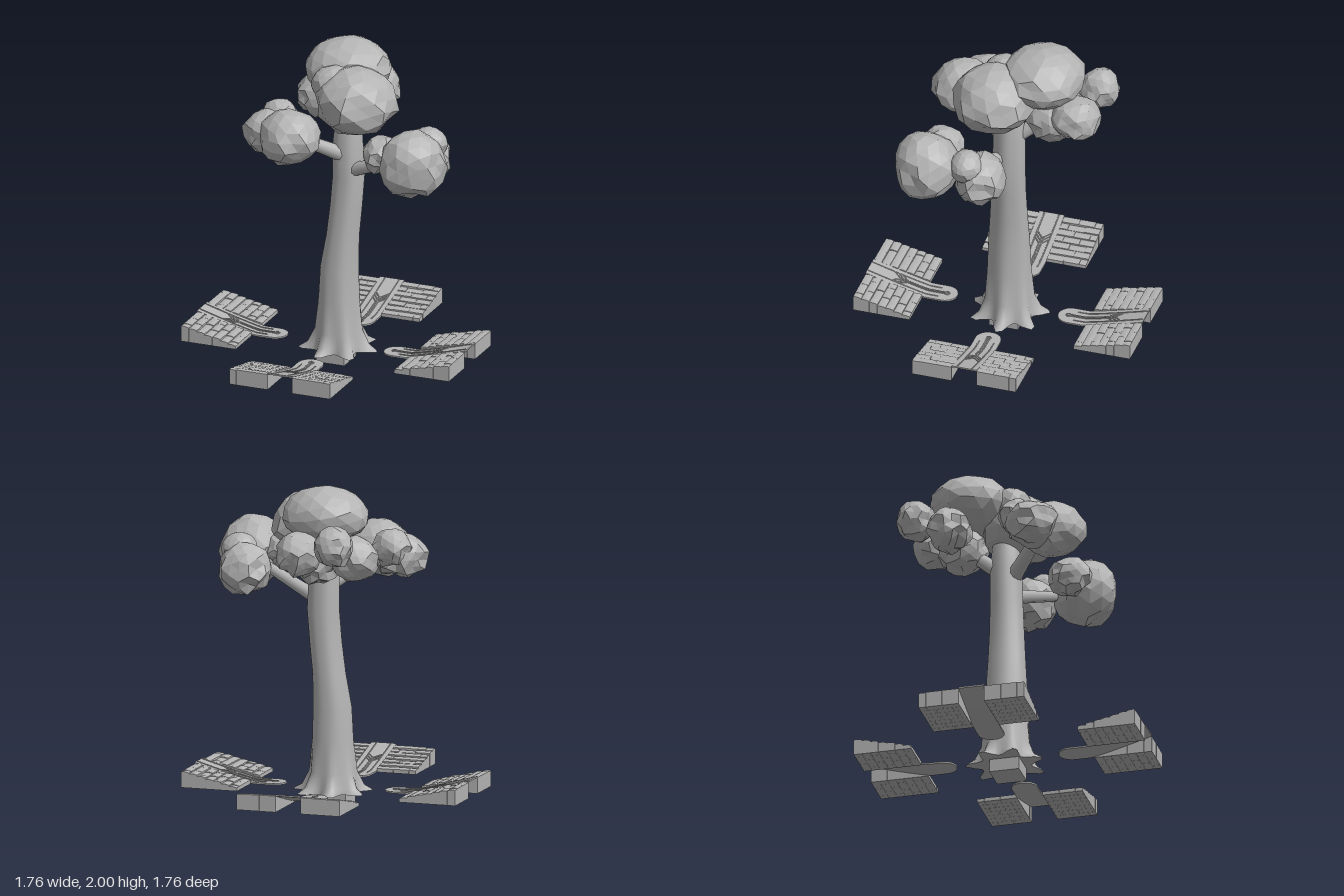
import * as THREE from 'three';

const stone = new THREE.MeshStandardMaterial({ color: 0xb4b4b4 });
stone.name = 'plain grey';
const facet = new THREE.MeshStandardMaterial({ color: 0xb4b4b4, flatShading: true });
facet.name = 'plain grey faceted';

function add(parent, name, geometry, material = stone) {
  const mesh = new THREE.Mesh(geometry, material);
  mesh.name = name;
  parent.add(mesh);
  return mesh;
}

// Repeatable noise in -1..1 from a position
function noise(x, y, z) {
  const q = v => Math.round(v * 1000);
  const s = Math.sin(q(x) * 0.1271 + q(y) * 0.3117 + q(z) * 0.2743) * 43758.5453;
  return (s - Math.floor(s)) * 2 - 1;
}

// Surface through rings [y, centreX, centreZ, radiusX, radiusZ, star]
function loft(rings, sides) {
  const pos = [], index = [];
  for (const [y, cx, cz, rx, rz, star = 0] of rings) {
    for (let j = 0; j < sides; j++) {
      const t = (j / sides) * Math.PI * 2 + y * 0.5;
      const k = 1 + star * (Math.pow(Math.abs(Math.cos(t * 3.5)), 3) - 0.25) + 0.015 * Math.cos(t * 6);
      pos.push(cx + Math.cos(t) * rx * k, y, cz + Math.sin(t) * rz * k);
    }
  }
  for (let i = 0; i < rings.length - 1; i++) {
    for (let j = 0; j < sides; j++) {
      const a = i * sides + j, b = i * sides + (j + 1) % sides;
      index.push(a, a + sides, b, b, a + sides, b + sides);
    }
  }
  const g = new THREE.BufferGeometry();
  g.setAttribute('position', new THREE.Float32BufferAttribute(pos, 3));
  g.setIndex(index);
  g.computeVertexNormals();
  return g;
}

// Tapered round limb between two points
function limb(parent, name, from, to, r0, r1) {
  const a = new THREE.Vector3(...from), b = new THREE.Vector3(...to);
  const m = add(parent, name, new THREE.CylinderGeometry(r1, r0, a.distanceTo(b), 9));
  m.position.copy(a).lerp(b, 0.5);
  m.quaternion.setFromUnitVectors(new THREE.Vector3(0, 1, 0), b.sub(a).normalize());
}

// Foliage lump: calm dome on top, craggy below
function leafBall(parent, name, [x, y, z, rx, ry, rz], seed, rough) {
  const g = new THREE.IcosahedronGeometry(1, 2);
  g.rotateX(seed * 1.3).rotateY(seed * 2.1);
  const p = g.attributes.position;
  for (let i = 0; i < p.count; i++) {
    const vx = p.getX(i), vy = p.getY(i), vz = p.getZ(i);
    const amount = vy > 0.25 ? 0.02 + rough * 0.4 : 0.045 + rough;
    const k = 1 + amount * noise(vx + seed, vy, vz);
    p.setXYZ(i, vx * k * rx, vy * k * ry, vz * k * rz);
  }
  g.computeVertexNormals();
  add(parent, name, g, facet).position.set(x, y, z);
}

// Walkway height at distance r from the centre
function rampY(r) {
  const t = Math.max(0, (r - 0.5) / 0.38);
  return 0.105 + 0.1 * Math.pow(t, 1.1);
}

// Raised bead following the walkway
function bead(parent, name, points, radius = 0.005) {
  const path = new THREE.CurvePath();
  const v = points.map(([x, r]) => new THREE.Vector3(x, rampY(r) + 0.006, r));
  for (let i = 1; i < v.length; i++) path.add(new THREE.LineCurve3(v[i - 1], v[i]));
  add(parent, name, new THREE.TubeGeometry(path, (v.length - 1) * 2, radius, 6));
}

// One arm: walkway with a tiled wedge on each side, pointing to +z
function createArm() {
  const arm = new THREE.Group();

  const g = new THREE.BoxGeometry(1, 1, 1, 2, 1, 28);
  const p = g.attributes.position;
  for (let i = 0; i < p.count; i++) {
    const r = 0.32 + 0.56 * Math.pow(p.getZ(i) + 0.5, 1.6);
    const half = r < 0.4 ? Math.sqrt(Math.max(0, 0.0064 - (0.4 - r) ** 2)) : 0.08;
    p.setXYZ(i, p.getX(i) * 2 * half, rampY(r) + p.getY(i) * 0.01, r);
  }
  g.computeVertexNormals();
  add(arm, 'walkway', g);

  // Beads: two side rails and an arrow with a ring
  const along = (x, r0, r1) => Array.from({ length: 7 }, (_, i) => [x, r0 + (r1 - r0) * i / 6]);
  for (const s of [-1, 1]) {
    bead(arm, 'sideRail', along(s * 0.046, 0.43, 0.875), 0.004);
    bead(arm, 'arrowShaft', along(s * 0.007, 0.4, 0.68), 0.004);
    for (const r of [0.64, 0.665, 0.69]) {
      bead(arm, 'arrowFeather', [[0, r - 0.01], [s * 0.045, r + 0.04]], 0.004);
    }
  }
  const ring = add(arm, 'arrowRing', new THREE.TorusGeometry(0.013, 0.005, 6, 14));
  ring.rotation.x = Math.PI / 2;
  ring.position.set(0, rampY(0.385) + 0.006, 0.385);

  // Stepped rows of staggered tiles
  const rows = 7, depth = 0.36 / rows;
  for (const s of [-1, 1]) {
    for (let i = 0; i < rows; i++) {
      const r0 = 0.52 + i * depth;
      const seams = i % 2 ? [0.08, 0.13, 0.235, 0.33] : [0.08, 0.185, 0.285, 0.33];
      for (let j = 0; j < 3; j++) {
        const a = seams[j], b = seams[j + 1];
        const lift = 0.003 * noise(i, j, s);
        const tile = new THREE.BoxGeometry(b - a - 0.001, 1, depth - 0.001, 1, 1, 3);
        const q = tile.attributes.position;
        for (let k = 0; k < q.count; k++) {
          const t = q.getZ(k) / depth + 0.5;
          const base = 0.123 + 0.0115 * (i + 0.45 * t);
          const top = base + 0.004 * Math.sin(Math.PI * t) + lift;
          q.setY(k, q.getY(k) > 0 ? top : 0.1);
        }
        tile.computeVertexNormals();
        add(arm, 'tile', tile).position.set(s * (a + b) / 2, 0, r0 + depth / 2);
      }
    }
  }
  return arm;
}

export function createModel() {
  const model = new THREE.Group();

  // Four arms around the trunk
  for (let i = 0; i < 4; i++) {
    const arm = createArm();
    arm.name = ['frontArm', 'leftArm', 'backArm', 'rightArm'][i];
    arm.rotation.y = i * Math.PI / 2;
    model.add(arm);
  }

  // Foot block, root flare and trunk
  add(model, 'footBlock', new THREE.BoxGeometry(0.185, 0.085, 0.185)).position.y = 0.0425;
  const flare = [0.08, 0.015, -0.015, 0.18, 0.18, 0.55];
  add(model, 'rootUnderside', loft([[0.081, 0.015, -0.015, 0.001, 0.001], flare], 42), facet);
  add(model, 'trunk', loft([
    flare,
    [0.115, 0.015, -0.015, 0.165, 0.165, 0.25],
    [0.2, 0.015, -0.013, 0.142, 0.146, 0.08],
    [0.4, 0.015, -0.013, 0.125, 0.134],
    [0.6, 0.018, -0.013, 0.117, 0.126],
    [0.8, 0.037, -0.017, 0.1, 0.115],
    [1.0, 0.058, -0.022, 0.098, 0.106],
    [1.2, 0.072, -0.028, 0.098, 0.1],
    [1.4, 0.066, -0.03, 0.093, 0.098],
    [1.55, 0.07, -0.03, 0.08, 0.085],
    [1.68, 0.07, -0.03, 0.06, 0.06],
  ], 42));

  // Branches into the crowns
  limb(model, 'leftBranch', [0.09, 1.24, 0], [0.55, 1.43, 0.16], 0.045, 0.03);
  limb(model, 'rightBranch', [0.07, 1.33, 0], [-0.2, 1.52, 0.26], 0.05, 0.035);
  limb(model, 'backBranch', [0.06, 1.38, -0.05], [-0.02, 1.6, -0.35], 0.05, 0.035);

  // Foliage: [x, y, z, radiusX, radiusY, radiusZ, roughness]
  const crowns = {
    topCrown: [
      [-0.01, 1.82, -0.22, 0.26, 0.18, 0.25, 0.02],
      [0.15, 1.71, 0.035, 0.255, 0.21, 0.25, 0.03],
      [0, 1.79, 0.03, 0.14, 0.12, 0.125, 0.03],
      [-0.17, 1.69, -0.53, 0.12, 0.13, 0.12, 0.08],
      [0.08, 1.62, -0.46, 0.14, 0.14, 0.15, 0.07],
      [-0.23, 1.58, -0.31, 0.14, 0.14, 0.14, 0.08],
      [0.03, 1.55, -0.29, 0.15, 0.14, 0.15, 0.08],
    ],
    rightCrown: [
      [-0.165, 1.53, 0.335, 0.195, 0.175, 0.185, 0.04],
      [-0.34, 1.51, 0.24, 0.155, 0.14, 0.16, 0.1],
      [-0.31, 1.57, 0.14, 0.12, 0.12, 0.11, 0.08],
    ],
    leftCrown: [
      [0.635, 1.475, 0.32, 0.2, 0.21, 0.2, 0.05],
      [0.58, 1.41, 0, 0.165, 0.16, 0.155, 0.09],
      [0.64, 1.52, 0.06, 0.11, 0.1, 0.1, 0.03],
      [0.42, 1.49, 0.28, 0.12, 0.12, 0.13, 0.1],
    ],
  };
  let seed = 1;
  for (const [name, balls] of Object.entries(crowns)) {
    const crown = new THREE.Group();
    crown.name = name;
    for (const ball of balls) leafBall(crown, 'leafBall', ball, seed++, ball[6]);
    model.add(crown);
  }
  return model;
}
